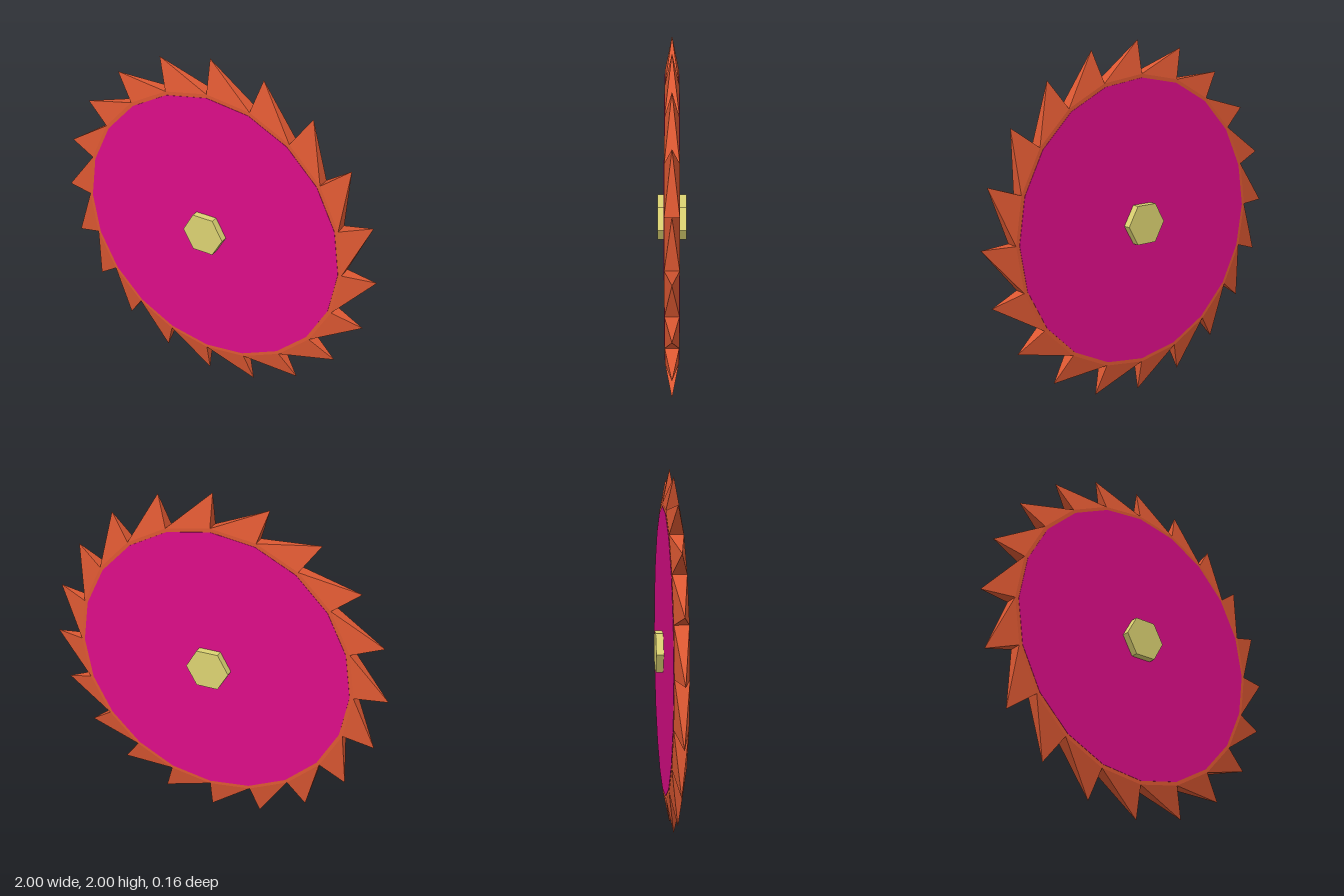
import * as THREE from 'three';
import { mergeGeometries } from 'three/addons/utils/BufferGeometryUtils.js';

const TEETH = 20;
const STEP = (Math.PI * 2) / TEETH;
const ROOT = 0.82; // radius at the valleys
const HALF = 0.037; // half thickness of the blade

const paint = (name, hex) => {
  const m = new THREE.MeshStandardMaterial({ color: hex });
  m.name = name;
  return m;
};

// Prism lying along z with a corner at the given start angle
function prism(radius, depth, sides, start = 0) {
  return new THREE.CylinderGeometry(radius, radius, depth, sides, 1, false, start)
    .rotateX(Math.PI / 2);
}

// Raked four-sided point: tip over the leading valley, base running clockwise to the next one
function tooth() {
  const tip = [0, 1, 0];
  const x = ROOT * Math.sin(STEP), y = ROOT * Math.cos(STEP);
  const leadF = [0, ROOT, HALF], leadB = [0, ROOT, -HALF];
  const trailF = [x, y, HALF], trailB = [x, y, -HALF];
  const faces = [
    tip, leadF, trailF, // front
    tip, trailB, leadB, // back
    tip, leadB, leadF, // steep cutting face
    tip, trailF, trailB, // long sloping face
  ];
  const g = new THREE.BufferGeometry();
  g.setAttribute('position', new THREE.Float32BufferAttribute(faces.flat(), 3));
  g.computeVertexNormals();
  return g;
}

export function createModel() {
  const orange = paint('rust orange', 0xdd5832);
  const magenta = paint('magenta', 0xdc0d88);
  const yellow = paint('pale yellow', 0xdcd372);
  for (const m of [orange, magenta, yellow]) m.flatShading = true;

  const model = new THREE.Group();
  model.name = 'sawBlade';
  const add = (name, geometry, material) => {
    const mesh = new THREE.Mesh(geometry, material);
    mesh.name = name;
    mesh.position.y = 1;
    model.add(mesh);
    return mesh;
  };

  // Blade body and its ring of teeth
  add('bladeCore', prism(ROOT, HALF * 2, TEETH), orange);
  const ring = Array.from({ length: TEETH }, (_, i) => tooth().rotateZ(i * STEP));
  add('teeth', mergeGeometries(ring), orange);

  // Thin coloured plate on each face
  for (const side of [1, -1]) {
    const plate = add(side > 0 ? 'frontPlate' : 'backPlate', prism(0.8, 0.004, TEETH), magenta);
    plate.position.z = side * HALF;
  }

  // Hexagonal hub through the middle
  add('hub', prism(0.126, 0.16, 6, Math.PI / 2), yellow);

  return model;
}
